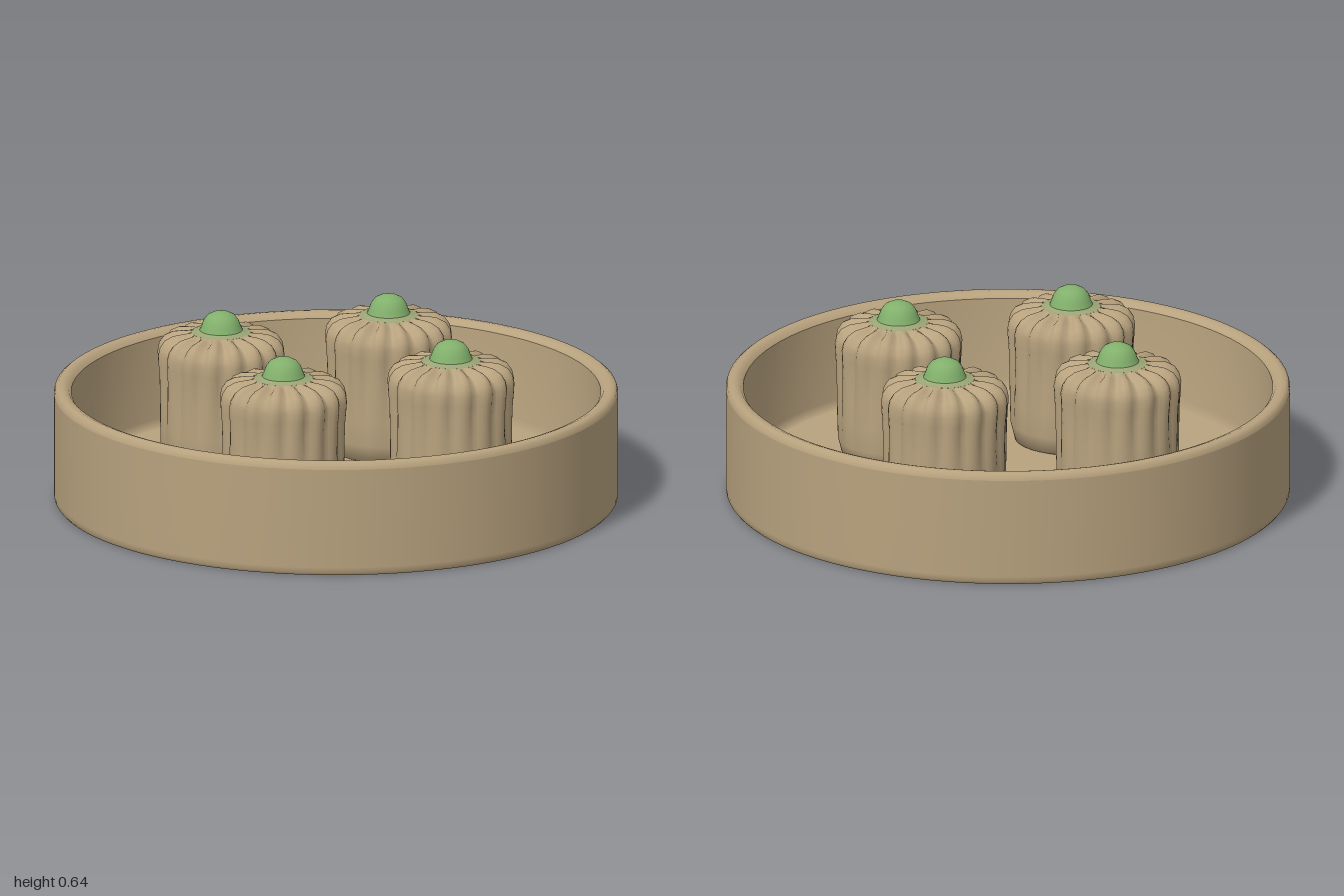
import * as THREE from 'three';
import { mergeVertices } from 'three/addons/utils/BufferGeometryUtils.js';

const mat = (name, color) => new THREE.MeshStandardMaterial({ name, color });
const points = (list) => list.map(([x, y]) => new THREE.Vector2(x, y));

function lathe(name, profile, material, segments = 96) {
  const mesh = new THREE.Mesh(new THREE.LatheGeometry(points(profile), segments), material);
  mesh.name = name;
  return mesh;
}

const PLEATS = 16;

// Fluted body: a lathe whose radius ripples around the shoulder and fades out below
function pleatedGeometry() {
  const profile = [
    [0, 0.05], [0.15, 0.05], [0.2, 0.07], [0.215, 0.13], [0.218, 0.22], [0.22, 0.32],
    [0.222, 0.4], [0.226, 0.45], [0.228, 0.485], [0.222, 0.515], [0.205, 0.54],
    [0.175, 0.555], [0.14, 0.56], [0.105, 0.56],
  ];
  const geo = new THREE.LatheGeometry(points(profile), PLEATS * 6);
  const pos = geo.attributes.position;
  for (let i = 0; i < pos.count; i++) {
    const x = pos.getX(i), y = pos.getY(i), z = pos.getZ(i);
    const r = Math.hypot(x, z);
    if (r < 0.12) continue;
    const a = Math.atan2(z, x);
    const fold = 1 - Math.abs(Math.sin((a * PLEATS) / 2 + y * 1.5)); // 1 in each groove
    const up = THREE.MathUtils.smoothstep(y, 0.05, 0.5);
    const k = 1 - 0.1 * fold * up;
    const drop = 0.022 * fold * THREE.MathUtils.smoothstep(y, 0.48, 0.54);
    pos.setXYZ(i, x * k, y - drop, z * k);
  }
  geo.deleteAttribute('uv');
  geo.deleteAttribute('normal');
  const welded = mergeVertices(geo, 1e-4);
  welded.computeVertexNormals();
  return welded;
}

export function createModel() {
  const model = new THREE.Group();
  model.name = 'steamedBunTray';
  const tan = mat('tan', 0xb8a27e);
  const olive = mat('oliveGreen', 0x9ca676);
  const green = mat('leafGreen', 0x82b06c);

  // Round tray: underside, outer wall, rounded rim and softly shaded inside
  const tray = new THREE.Group();
  tray.name = 'tray';
  tray.add(
    lathe('underside', [[0, 0], [0.99, 0]], tan),
    lathe('outerWall', [[0.99, 0], [0.998, 0.01], [1, 0.03], [1, 0.39]], tan),
    lathe('rim', [[1, 0.39], [0.996, 0.405], [0.985, 0.414], [0.968, 0.416], [0.95, 0.41], [0.938, 0.395]], tan),
    lathe('inside', [[0.938, 0.395], [0.925, 0.1], [0.9, 0.07], [0, 0.06]], tan),
  );
  model.add(tray);

  // Four buns, each a quarter turn from the last
  const body = pleatedGeometry();
  for (let i = 0; i < 4; i++) {
    const bun = new THREE.Group();
    bun.name = 'bun' + (i + 1);
    const pleats = new THREE.Mesh(body, tan);
    pleats.name = 'pleatedBody';
    bun.add(
      pleats,
      lathe('tintedCollar', [[0.105, 0.56], [0.09, 0.562], [0.076, 0.568]], olive, 32),
      lathe('topKnob', [[0.076, 0.568], [0.069, 0.585], [0.062, 0.604], [0.048, 0.622], [0.026, 0.633], [0, 0.636]], green, 32),
    );
    bun.position.set(0.41, 0, -0.18);
    const holder = new THREE.Group();
    holder.name = 'bunPlace' + (i + 1);
    holder.rotation.y = (i * Math.PI) / 2;
    holder.add(bun);
    model.add(holder);
  }
  return model;
}
